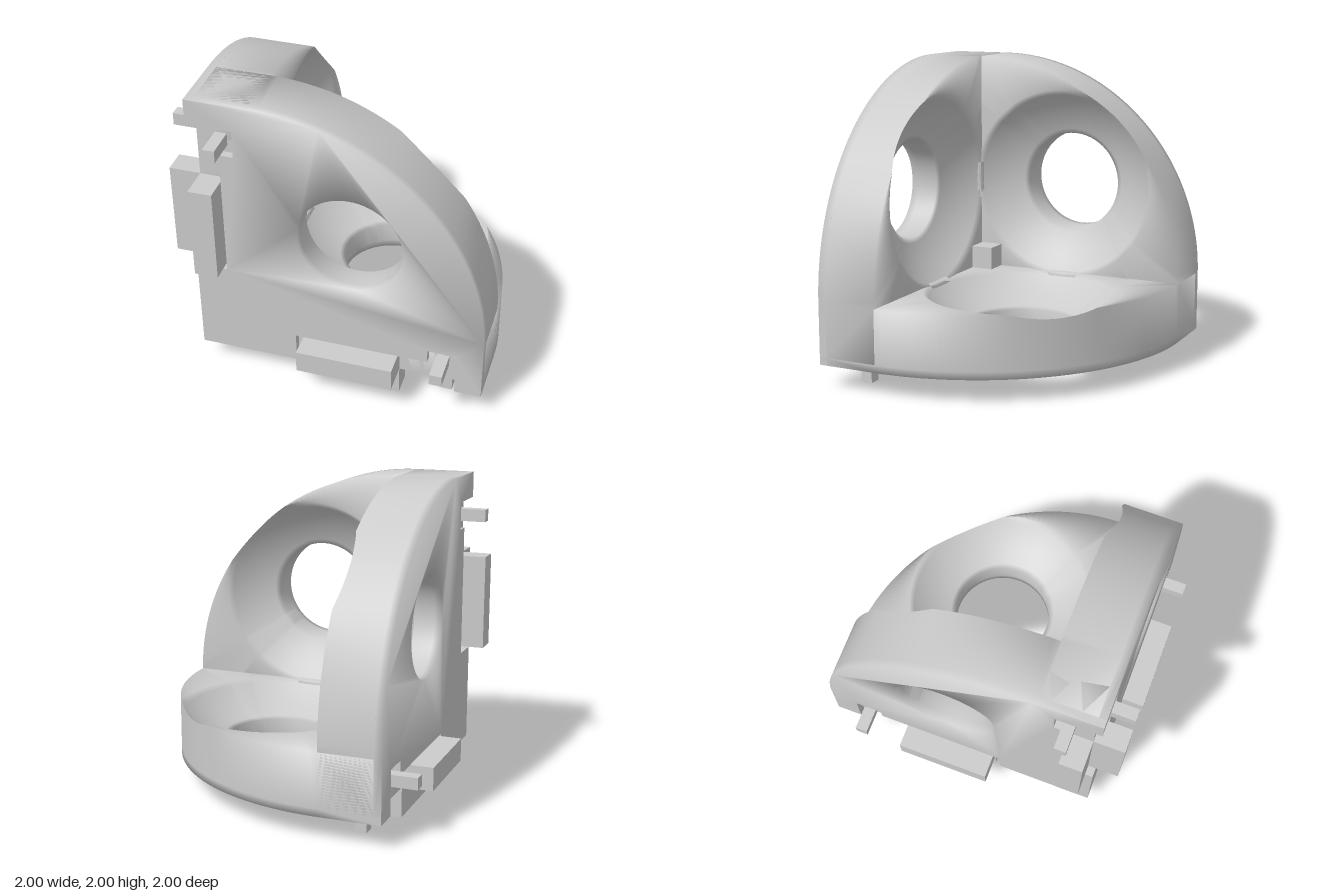
import * as THREE from 'three';

const SIZE = 1.85, THICK = 0.4, SKIN = 0.05;   // wall length, thickness, depth of the recessed skin
const ARC = SIZE - THICK;                      // radius of the rounded rim, centred at (THICK, THICK)
const C = 1, HOLE = 0.33;                      // window centre (C, C) and radius
const BALL = 0.877;                            // hollow ball centred at (C, C, -C)
const BOWL = Math.sqrt(BALL ** 2 - (C - THICK) ** 2);
const material = new THREE.MeshStandardMaterial({ color: 0xcccccc });

// depth of the inner surface at distance r from the window axis
const innerZ = r => (r >= BOWL ? -THICK : -(C - Math.sqrt(BALL ** 2 - r * r)));

function add(group, name, geometry) {
  const mesh = new THREE.Mesh(geometry, material);
  mesh.name = name;
  group.add(mesh);
}

// outer skin: quarter plate with a window and two edge recesses
function skinGeometry() {
  const shape = new THREE.Shape();
  const recess = [[0.64, 0], [0.64, 0.2], [1.5, 0.2], [1.5, 0.29], [1.68, 0.29], [1.68, 0]];
  shape.moveTo(0, 0);
  recess.forEach(([a, b]) => shape.lineTo(a, b));
  shape.lineTo(SIZE, 0);
  shape.lineTo(SIZE, THICK);
  shape.absarc(THICK, THICK, ARC, 0, Math.PI / 2, false);
  shape.lineTo(0, SIZE);
  [...recess].reverse().forEach(([a, b]) => shape.lineTo(b, a));
  shape.holes.push(new THREE.Path().absarc(C, C, HOLE, 0, Math.PI * 2, true));
  const g = new THREE.ExtrudeGeometry(shape, { depth: SKIN, bevelEnabled: false, curveSegments: 40 });
  g.translate(0, 0, -SKIN);

  // soften the shading across the window edge and the rounded rim
  const p = g.attributes.position, n = g.attributes.normal, v = new THREE.Vector3();
  for (let i = 0; i < p.count; i++) {
    if (n.getZ(i) < -0.5) continue;
    const x = p.getX(i), y = p.getY(i), front = p.getZ(i) > -0.001 ? 1 : 0;
    const onHole = Math.abs(Math.hypot(x - C, y - C) - HOLE) < 0.005;
    const onRim = x >= THICK - 0.001 && y >= THICK - 0.001 &&
      Math.abs(Math.hypot(x - THICK, y - THICK) - ARC) < 0.005;
    if (onHole) v.set(C - x, C - y, 0);
    else if (onRim) v.set(x - THICK, y - THICK, 0);
    else continue;
    v.normalize().setZ(front).normalize();
    n.setXYZ(i, v.x, v.y, v.z);
  }
  return g;
}

// outline of the wall body, counter-clockwise
function bodyOutline() {
  const pts = [];
  for (let i = 0; i <= 48; i++) {
    const t = (i / 48) * Math.PI / 2;
    pts.push([THICK + ARC * Math.cos(t), THICK + ARC * Math.sin(t)]);
  }
  const side = (a, b, n) => {
    for (let i = 0; i < n; i++) {
      pts.push([a[0] + (b[0] - a[0]) * i / n, a[1] + (b[1] - a[1]) * i / n]);
    }
  };
  side([SKIN, SIZE], [SKIN, SKIN], 24);
  side([SKIN, SKIN], [SIZE, SKIN], 24);
  pts.push([SIZE, SKIN]);
  return pts;
}

// joins closed rings of points into a smooth surface
function loft(rings) {
  const n = rings[0].length, index = [];
  for (let i = 0; i < rings.length - 1; i++) {
    for (let j = 0; j < n; j++) {
      const a = i * n + j, b = i * n + (j + 1) % n;
      index.push(a, b, a + n, b, b + n, a + n);
    }
  }
  const g = new THREE.BufferGeometry();
  g.setAttribute('position', new THREE.Float32BufferAttribute(rings.flat(2), 3));
  g.setIndex(index);
  g.computeVertexNormals();
  return g;
}

// wall body: window bore, hollowed bowl, inner face and rim, plus the floor of the recesses
function bodyGeometries() {
  const rays = bodyOutline().map(([x, y]) => {
    const d = Math.hypot(x - C, y - C);
    return { d, cx: (x - C) / d, cy: (y - C) / d };
  });
  const ring = (radius, depth) => rays.map(ray => {
    const r = radius(ray.d);
    return [C + ray.cx * r, C + ray.cy * r, depth(r)];
  });
  const hole = ring(() => HOLE, () => -SKIN);
  const rim = ring(d => d, () => -SKIN);
  const rings = [hole];
  const steps = 10;
  for (let i = 0; i <= steps; i++) {
    rings.push(ring(d => HOLE + (Math.min(BOWL, d) - HOLE) * i / steps, innerZ));
  }
  rings.push(ring(d => d, innerZ), rim);
  return [loft(rings), loft([rim, hole])];
}

// box given by its lower and upper corners
function block(x0, x1, y0, y1, z0, z1) {
  return new THREE.BoxGeometry(x1 - x0, y1 - y0, z1 - z0)
    .translate((x0 + x1) / 2, (y0 + y1) / 2, (z0 + z1) / 2);
}

export function createModel() {
  const model = new THREE.Group();
  model.name = 'cornerPiece';
  const corner = new THREE.Group();
  corner.name = 'corner';
  corner.position.set(-0.85, 0.15, 0.85);
  model.add(corner);

  const skin = skinGeometry();
  const [body, recessFloor] = bodyGeometries();
  const axis = new THREE.Vector3(1, 1, -1).normalize();

  // three equal walls turned about the corner diagonal
  ['frontWall', 'secondWall', 'thirdWall'].forEach((name, k) => {
    const wall = new THREE.Group();
    wall.name = name;
    wall.quaternion.setFromAxisAngle(axis, k * Math.PI * 2 / 3);
    add(wall, 'outerSkin', skin);
    add(wall, 'wallBody', body);
    add(wall, 'recessFloor', recessFloor);
    // a tab and a pin beside each straight edge
    add(wall, 'lowerTab', block(0.69, 1.31, 0.05, 0.2, -0.05, 0.15));
    add(wall, 'sideTab', block(0.05, 0.2, 0.69, 1.31, -0.05, 0.15));
    add(wall, 'lowerPin', block(1.55, 1.63, 0.165, 0.24, -0.05, 0.15));
    add(wall, 'sidePin', block(0.165, 0.24, 1.55, 1.63, -0.05, 0.15));
    corner.add(wall);
  });

  // small cube in the inner corner
  add(corner, 'innerCornerCube', block(0.38, 0.55, 0.38, 0.55, -0.55, -0.38));
  return model;
}
